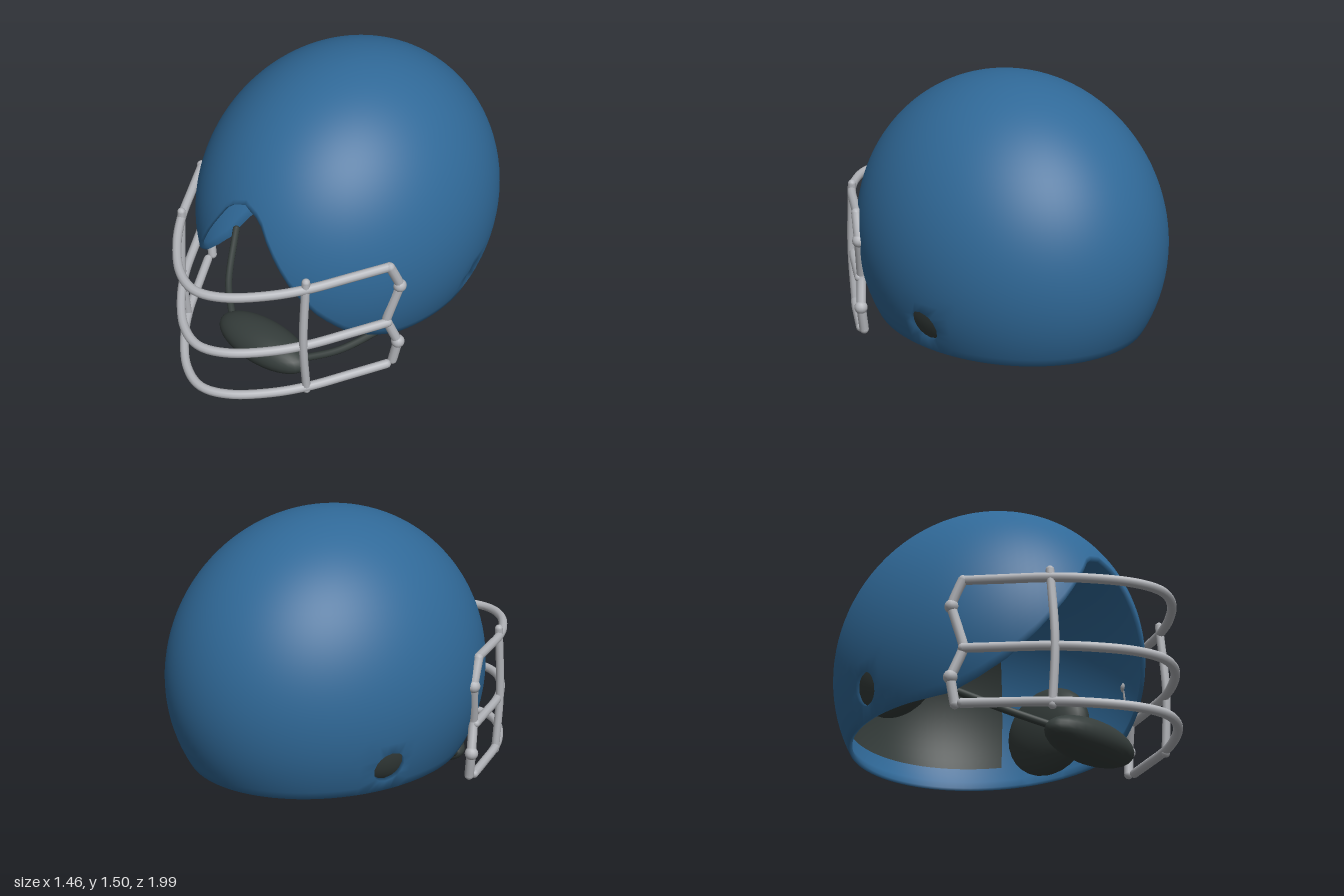
import * as THREE from 'three';

const paint = new THREE.MeshStandardMaterial({ color: 0x306998, side: THREE.DoubleSide });
paint.name = 'shellBlue';
const padding = new THREE.MeshStandardMaterial({ color: 0x353d3b, side: THREE.DoubleSide });
padding.name = 'paddingCharcoal';
const steel = new THREE.MeshStandardMaterial({ color: 0xb4b6bb });
steel.name = 'barGrey';

const V = (x, y, z) => new THREE.Vector3(x, y, z);
const CENTER = V(0, 0.67, -0.15);
const RADII = V(0.73, 0.83, 0.85);

function add(parent, name, geometry, material) {
  const mesh = new THREE.Mesh(geometry, material);
  mesh.name = name;
  parent.add(mesh);
  return mesh;
}

function ellipsoid(parent, name, material, pos, radii, segments = 32) {
  const mesh = add(parent, name, new THREE.SphereGeometry(1, segments, segments / 2), material);
  mesh.position.copy(pos);
  mesh.scale.copy(radii);
  return mesh;
}

// Round bar through the points, with rounded ends
function bar(parent, name, material, points, radius, tension = 0.5, steps = 32) {
  const group = new THREE.Group();
  group.name = name;
  const curve = new THREE.CatmullRomCurve3(points, false, 'catmullrom', tension);
  add(group, name + 'Tube', new THREE.TubeGeometry(curve, steps, radius, 10), material);
  for (const p of [points[0], points[points.length - 1]]) {
    ellipsoid(group, name + 'End', material, p, V(radius, radius, radius), 12);
  }
  parent.add(group);
}

// Height of the shell's lower edge by angle from the front
const EDGE = [[0, 1.04], [0.153, 1.0], [0.285, 0.85], [0.423, 0.69], [0.589, 0.53],
  [0.768, 0.4], [0.946, 0.325], [1.126, 0.275], [1.3, 0.27], [4, 0.27]];
function edgeHeight(angle) {
  const k = EDGE.findIndex((p) => p[0] > angle);
  const [a0, y0] = EDGE[k - 1], [a1, y1] = EDGE[k];
  return y0 + (y1 - y0) * (angle - a0) / (a1 - a0);
}

// Thick shell: outer and inner ellipsoid grids with round ear holes, joined by a rim
function shellGeometry() {
  const COLS = 108, ROWS = 36, THICK = 0.02;
  const ear = { col: 31, row: 3, half: 2, y: 0.41, z: -0.32, r: 0.08 };
  const positions = [], faces = [];
  const pole = COLS * ROWS, layer = pole + 1;
  const id = (i, j) => (j === ROWS ? pole : j * COLS + (i + COLS) % COLS);

  // Point of the unit sphere for a grid corner
  function unitPoint(i, j) {
    const side = i < 0 ? -1 : 1;
    const angle = (i / COLS) * Math.PI * 2;
    const low = Math.asin((edgeHeight(Math.abs(angle)) - CENTER.y) / RADII.y);
    const lat = low + (Math.PI / 2 - low) * j / ROWS;
    const di = Math.abs(i) - ear.col, dj = j - ear.row;
    if (Math.max(Math.abs(di), Math.abs(dj)) <= ear.half) {
      const a = Math.atan2(dj, di);
      const uy = (ear.y + ear.r * Math.sin(a) - CENTER.y) / RADII.y;
      const uz = (ear.z - ear.r * Math.cos(a) - CENTER.z) / RADII.z;
      return V(side * Math.sqrt(1 - uy * uy - uz * uz), uy, uz);
    }
    return V(Math.cos(lat) * Math.sin(angle), Math.sin(lat), Math.cos(lat) * Math.cos(angle));
  }

  for (const inset of [0, THICK]) {
    const size = RADII.clone().subScalar(inset);
    const put = (u) => positions.push(...u.multiply(size).add(CENTER).toArray());
    for (let j = 0; j < ROWS; j++) {
      for (let c = 0; c < COLS; c++) put(unitPoint(c > COLS / 2 ? c - COLS : c, j));
    }
    put(V(0, 1, 0));
  }
  for (let j = 0; j < ROWS; j++) {
    for (let i = -COLS / 2; i < COLS / 2; i++) {
      const inEar = Math.abs(Math.abs(i + 0.5) - ear.col) < ear.half
        && Math.abs(j + 0.5 - ear.row) < ear.half;
      if (inEar) continue;
      faces.push([id(i, j), id(i + 1, j), id(i + 1, j + 1)]);
      if (j < ROWS - 1) faces.push([id(i, j), id(i + 1, j + 1), id(i, j + 1)]);
    }
  }

  // Open edges of the outer grid receive the rim
  const edges = new Set();
  for (const f of faces) f.forEach((a, k) => edges.add(a + '_' + f[(k + 1) % 3]));
  const index = [];
  for (const [a, b, c] of faces) index.push(a, b, c, a + layer, c + layer, b + layer);
  for (const e of edges) {
    const [a, b] = e.split('_').map(Number);
    if (!edges.has(b + '_' + a)) index.push(b, a, a + layer, b, a + layer, b + layer);
  }
  const geometry = new THREE.BufferGeometry();
  geometry.setAttribute('position', new THREE.Float32BufferAttribute(positions, 3));
  geometry.setIndex(index);
  geometry.computeVertexNormals();
  return geometry;
}

export function createModel() {
  const model = new THREE.Group();
  model.name = 'helmet';

  add(model, 'shell', shellGeometry(), paint);

  // Padding against the inside of the back
  const backPad = add(model, 'backPad',
    new THREE.SphereGeometry(1, 32, 16, Math.PI * 1.5 - 1, 2, 0.8, 1.12), padding);
  backPad.position.copy(CENTER);
  backPad.scale.set(0.69, 0.79, 0.81);

  // Chin cup
  ellipsoid(model, 'chinCup', padding, V(0, 0.104, 0.52), V(0.29, 0.1, 0.13));

  for (const s of [1, -1]) {
    const side = s > 0 ? 'left' : 'right';
    ellipsoid(model, side + 'EarPad', padding, V(s * 0.55, 0.52, -0.22), V(0.12, 0.24, 0.27));
    bar(model, side + 'ChinStrap', padding,
      [V(s * 0.24, 0.12, 0.5), V(s * 0.4, 0.19, 0.36), V(s * 0.56, 0.32, 0.13)], 0.019);

    // Upright bar of the face guard
    bar(model, side + 'UprightBar', steel,
      [V(s * 0.413, 0.81, 0.645), V(s * 0.413, 0.45, 0.67), V(s * 0.413, 0.13, 0.65)], 0.021);

    // Side bar, bent to touch the shell at two mounts
    bar(model, side + 'SideBar', steel,
      [V(s * 0.63, 0.8, 0.29), V(s * 0.652, 0.67, 0.24), V(s * 0.613, 0.46, 0.285),
        V(s * 0.65, 0.31, 0.24), V(s * 0.63, 0.18, 0.25)], 0.024, 0.15);
    for (const y of [0.67, 0.31]) {
      ellipsoid(model, side + 'Mount', steel, V(s * 0.652, y, 0.24), V(0.034, 0.034, 0.034), 16);
    }
  }

  // Three bars sweeping round the face
  const sweep = [[0.625, 0.29], [0.53, 0.455], [0.42, 0.64], [0.3, 0.79], [0.15, 0.92]];
  const bars = { topBar: 0.8, middleBar: 0.45, lowerBar: 0.175 };
  for (const [name, y] of Object.entries(bars)) {
    const half = sweep.map(([x, z]) => V(x, y - (z - 0.29) * 0.083, z));
    const mirrored = half.map((p) => V(-p.x, p.y, p.z)).reverse();
    bar(model, name, steel, [...half, V(0, y - 0.057, 0.972), ...mirrored], 0.023, 0.5, 64);
  }
  return model;
}
